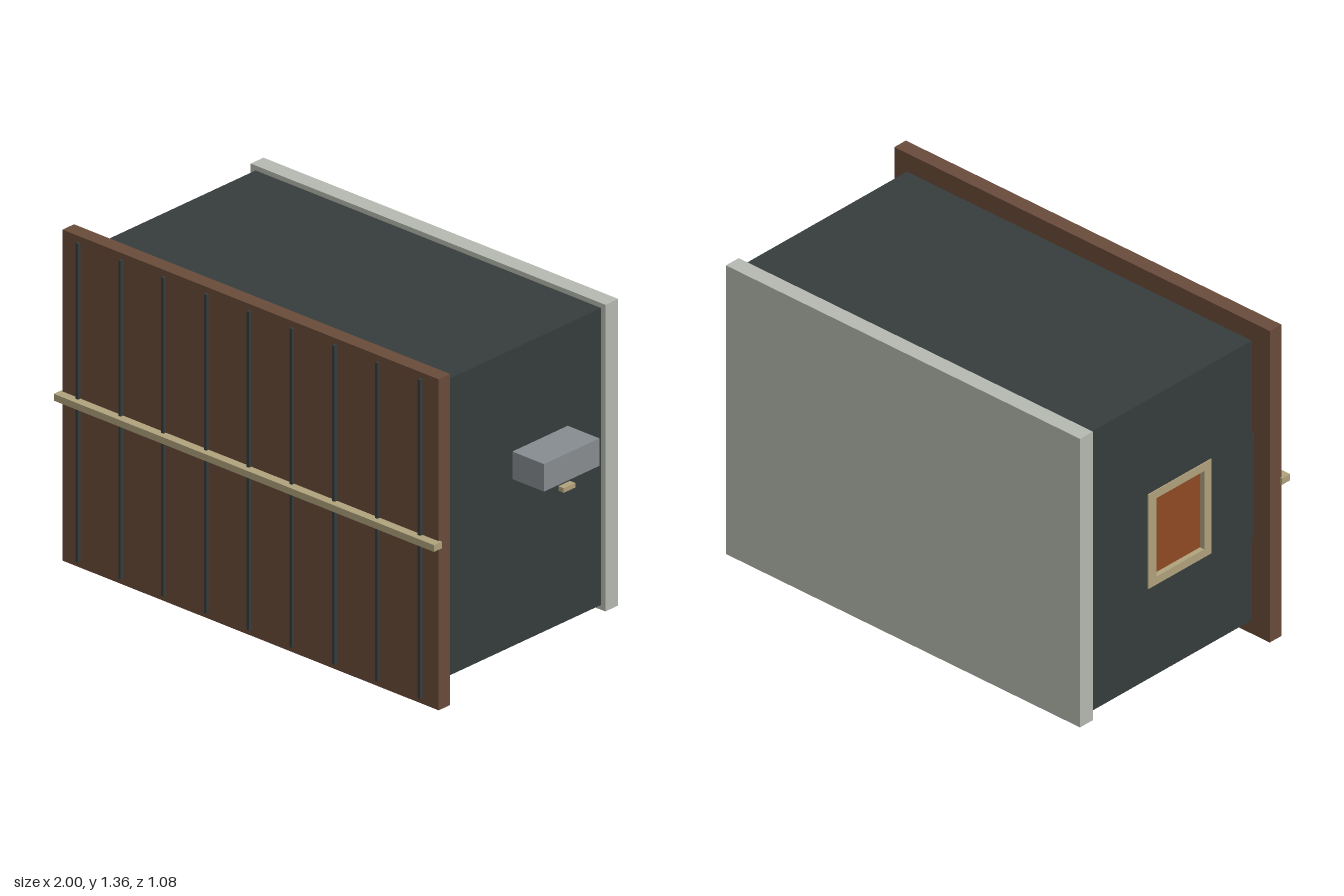
import * as THREE from 'three';

const mat = (name, color) => {
  const m = new THREE.MeshStandardMaterial({ color });
  m.name = name;
  return m;
};

export function createModel() {
  const charcoal = mat('charcoal', 0x363c3c);
  const brown = mat('brown', 0x694b3a);
  const tan = mat('tan', 0xb0a27c);
  const pale = mat('paleStone', 0xb6b9b0);
  const grey = mat('grey', 0x878c90);
  const rust = mat('rust', 0x8f4a22);

  const model = new THREE.Group();

  // Box given by its extents along each axis
  const box = (name, m, [x0, x1], [y0, y1], [z0, z1], parent = model) => {
    const mesh = new THREE.Mesh(new THREE.BoxGeometry(x1 - x0, y1 - y0, z1 - z0), m);
    mesh.position.set((x0 + x1) / 2, (y0 + y1) / 2, (z0 + z1) / 2);
    mesh.name = name;
    parent.add(mesh);
    return mesh;
  };
  const group = (name) => {
    const g = new THREE.Group();
    g.name = name;
    model.add(g);
    return g;
  };

  // Rectangular plate with a rectangular hole, lying in the z-y plane, thickness along x
  const holedPlate = (name, m, [z0, z1], [y0, y1], [hz0, hz1], [hy0, hy1], [x0, x1], parent) => {
    const rect = (P, a, b, c, d) => {
      const p = new P();
      p.moveTo(a, c).lineTo(b, c).lineTo(b, d).lineTo(a, d).closePath();
      return p;
    };
    const shape = rect(THREE.Shape, -z1, -z0, y0, y1);
    shape.holes.push(rect(THREE.Path, -hz1, -hz0, hy0, hy1));
    const geo = new THREE.ExtrudeGeometry(shape, { depth: x1 - x0, bevelEnabled: false });
    geo.rotateY(Math.PI / 2);
    geo.translate(x0, 0, 0);
    const mesh = new THREE.Mesh(geo, m);
    mesh.name = name;
    parent.add(mesh);
  };

  // Building shell, with an end wall that has a window opening
  const shell = group('shell');
  box('mainBody', charcoal, [-0.87, 0.835], [0.07, 1.29], [-0.465, 0.428], shell);
  const winZ = [-0.14, 0.205], winY = [0.465, 0.877];
  holedPlate('endWall', charcoal, [-0.465, 0.428], [0.07, 1.29], winZ, winY, [-0.91, -0.87], shell);
  box('gableTab', charcoal, [-0.91, -0.87], [0.43, 0.88], [0.428, 0.44], shell);

  // Foundation slab
  box('foundation', pale, [-0.935, 0.857], [0.05, 1.31], [-0.535, -0.465]);

  // Roof panel with seams and ridge cap
  const roof = group('roof');
  box('roofPanel', brown, [-0.99, 0.91], [0, 1.36], [0.44, 0.503], roof);
  for (let i = 0; i < 9; i++) {
    const x = -0.906 + i * 0.216;
    box('roofSeam', charcoal, [x - 0.006, x + 0.006], [0.025, 1.335], [0.5, 0.516], roof);
  }
  box('ridgeCap', tan, [-1, 0.92], [0.667, 0.695], [0.497, 0.54], roof);

  // End window
  const win = group('endWindow');
  holedPlate('windowFrame', tan, winZ, winY, [-0.095, 0.165], [0.5, 0.842], [-0.914, -0.87], win);
  box('windowPane', rust, [-0.892, -0.87], [0.49, 0.85], [-0.11, 0.18], win);

  // Wall unit on the opposite end, with its small outlet
  box('wallUnit', grey, [0.83, 0.995], [0.757, 0.87], [-0.283, 0.02]);
  box('unitOutlet', tan, [0.955, 0.982], [0.705, 0.724], [-0.165, -0.102]);

  // Door with trim, pane and knob
  const door = group('door');
  box('doorPanel', grey, [0.11, 0.48], [0.055, 0.075], [-0.465, 0.28], door);
  for (const x of [0.1, 0.49]) {
    box('doorPost', charcoal, [x - 0.012, x + 0.012], [0.05, 0.075], [-0.465, 0.3], door);
  }
  box('doorLintel', charcoal, [0.08, 0.51], [0.057, 0.075], [0.28, 0.33], door);
  box('doorPane', rust, [0.19, 0.39], [0.05, 0.058], [0.01, 0.125], door);
  const knob = new THREE.Mesh(new THREE.SphereGeometry(0.012, 10, 8), tan);
  knob.name = 'doorKnob';
  knob.position.set(0.435, 0.041, -0.102);
  door.add(knob);

  // Flat wall plate beside the door
  box('wallPlate', grey, [-0.36, -0.13], [0.064, 0.072], [0.15, 0.345]);

  // Louvred vent
  const vent = group('vent');
  box('ventHousing', brown, [-0.745, -0.495], [0.046, 0.075], [0.125, 0.3], vent);
  for (let i = 0; i < 7; i++) {
    const z = 0.145 + i * 0.0185;
    box('ventSlat', tan, [-0.73, -0.51], [0.032, 0.048], [z - 0.004, z + 0.004], vent);
  }

  return model;
}
